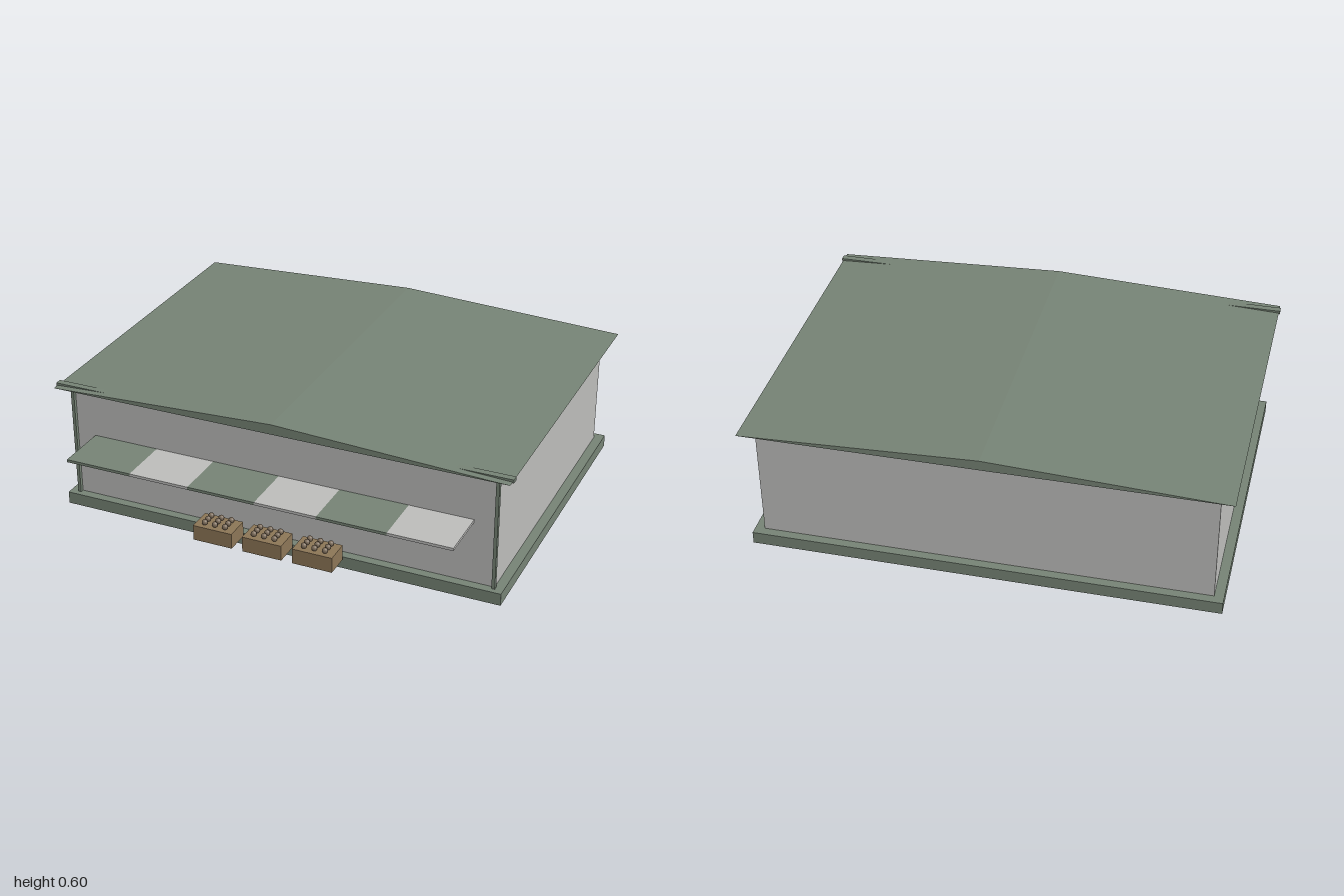
import * as THREE from 'three';

const mat = (name, color) => {
  const m = new THREE.MeshStandardMaterial({ color });
  m.name = name;
  return m;
};

export function createModel() {
  const green = mat('sage green', 0x758274);
  const grey = mat('pale grey', 0xbbbbb9);
  const wood = mat('crate wood', 0x8b7556);
  const fruit = mat('dull brown', 0x7a6a58);
  const model = new THREE.Group();
  model.name = 'marketHall';

  // box given by its minimum and maximum corners
  const box = (name, material, [x0, y0, z0], [x1, y1, z1], parent = model) => {
    const mesh = new THREE.Mesh(new THREE.BoxGeometry(x1 - x0, y1 - y0, z1 - z0), material);
    mesh.position.set((x0 + x1) / 2, (y0 + y1) / 2, (z0 + z1) / 2);
    mesh.name = name;
    parent.add(mesh);
    return mesh;
  };

  box('base', green, [-0.975, 0, -0.793], [0.975, 0.053, 0.623]);
  box('walls', grey, [-0.935, 0.053, -0.755], [0.935, 0.556, 0.585]);

  // shallow gable roof
  const gable = new THREE.Shape([
    new THREE.Vector2(-0.995, 0.555),
    new THREE.Vector2(0.995, 0.555),
    new THREE.Vector2(0, 0.599),
  ]);
  const roofGeometry = new THREE.ExtrudeGeometry(gable, { depth: 1.452, bevelEnabled: false });
  roofGeometry.translate(0, 0, -0.81);
  const roof = new THREE.Mesh(roofGeometry, green);
  roof.name = 'roof';
  model.add(roof);

  // beam under the front eave, with a post at each end
  box('frontBeam', green, [-1, 0.55, 0.583], [1, 0.565, 0.612]);
  for (const side of [-1, 1]) {
    const x = side * 0.934;
    box(side > 0 ? 'leftPost' : 'rightPost', green, [x - 0.007, 0.053, 0.582], [x + 0.007, 0.552, 0.6]);
  }

  // striped awning shelf
  const awning = new THREE.Group();
  awning.name = 'awning';
  model.add(awning);
  const edges = [-0.845, -0.553, -0.29, 0.005, 0.272, 0.568, 0.84];
  for (let i = 0; i < 6; i++) {
    box('awningStripe', i % 2 ? grey : green, [edges[i], 0.326, 0.58], [edges[i + 1], 0.338, 0.813], awning);
  }

  // crates, each with nine pieces of produce
  const ball = new THREE.SphereGeometry(0.0125, 10, 8);
  for (const cx of [-0.222, 0, 0.222]) {
    const crate = new THREE.Group();
    crate.name = 'crate';
    model.add(crate);
    box('crateBox', wood, [cx - 0.087, 0.05, 0.637], [cx + 0.087, 0.117, 0.744], crate);
    for (let i = 0; i < 9; i++) {
      const produce = new THREE.Mesh(ball, fruit);
      produce.name = 'produce';
      produce.position.set(cx + ((i % 3) - 1) * 0.046, 0.129, 0.69 + (Math.floor(i / 3) - 1) * 0.029);
      crate.add(produce);
    }
  }
  return model;
}
